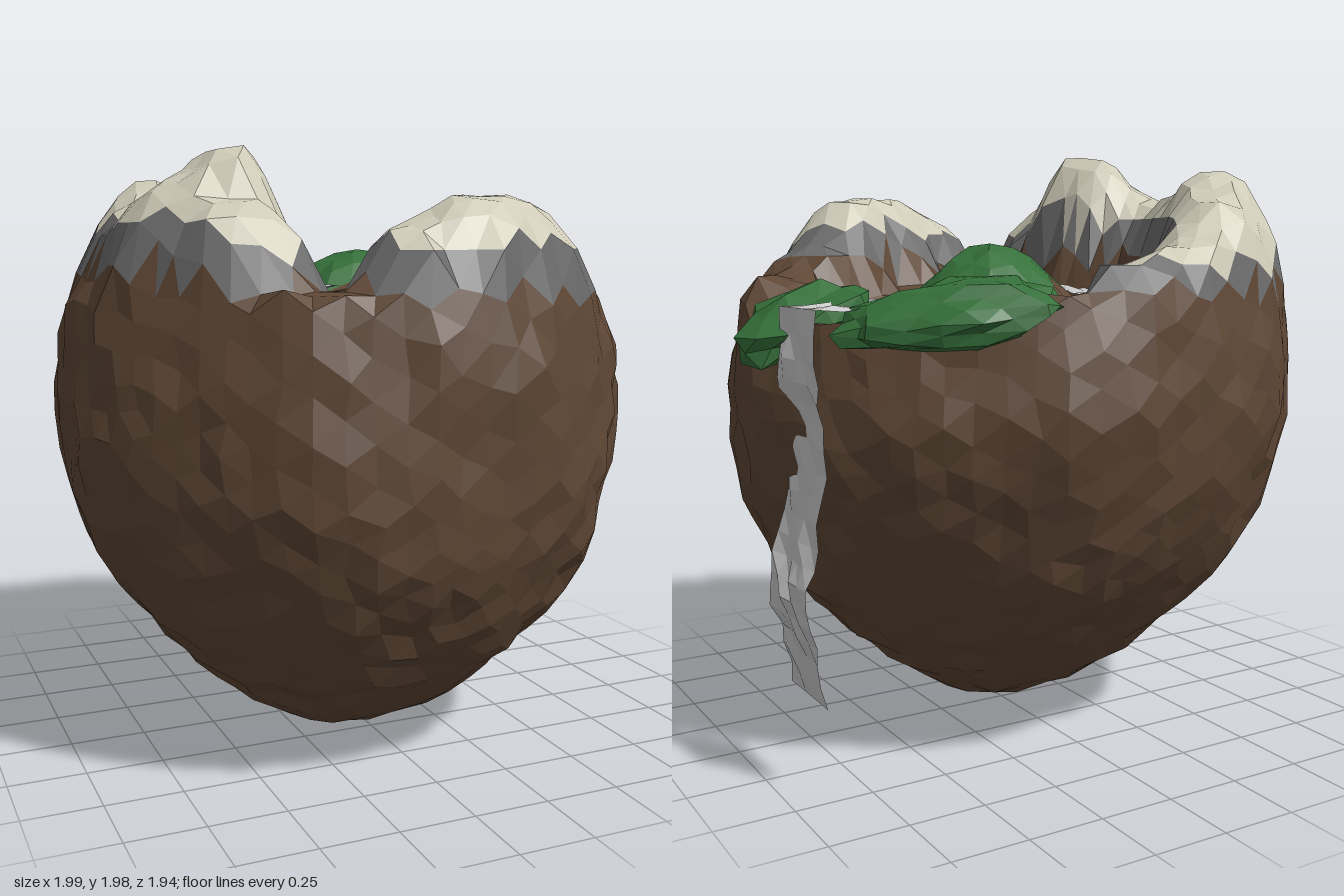
import * as THREE from 'three';
import { mergeVertices } from 'three/addons/utils/BufferGeometryUtils.js';

const COLORS = { soil: 0x5f4735, stone: 0x6b6b6b, snow: 0xcfcbb8, grass: 0x35703a, water: 0xcccccc, rock: 0x444444 };
const material = (key, side = THREE.FrontSide) =>
  new THREE.MeshStandardMaterial({ color: COLORS[key], flatShading: true, side });
const smooth = THREE.MathUtils.smoothstep;

// Repeatable noise in -1..1 from a position
function noise(x, y, z, k = 0) {
  const s = Math.sin(x * 127.1 + y * 311.7 + z * 74.7 + k * 53.3) * 43758.5453;
  return (s - Math.floor(s)) * 2 - 1;
}

// Mountain crests: [x, z, height, half width]
const RIDGES = [
  [[0.05, -0.81, 1.6, 0.13], [-0.2, -0.76, 1.66, 0.18], [-0.4, -0.64, 1.8, 0.23], [-0.57, -0.45, 1.89, 0.26],
    [-0.65, -0.12, 1.79, 0.26], [-0.61, 0.2, 1.88, 0.29], [-0.53, 0.42, 1.81, 0.27]],
  [[-0.52, 0.17, 1.96, 0.25], [-0.49, 0.26, 1.98, 0.23]],
  [[-0.09, 0.72, 1.74, 0.19], [0.12, 0.69, 1.82, 0.24], [0.33, 0.59, 1.82, 0.24], [0.52, 0.42, 1.64, 0.18]],
];

// Ground height, with the strength of the nearest ridge
function ground(x, z) {
  const mound = Math.max(0, 1 - ((x - 0.06) ** 2 + (z + 0.04) ** 2) / 0.15) ** 2 * 0.24;
  const bank = Math.max(smooth(z, 0.15, 0.5), smooth(x, 0.45, 0.7) * smooth(z, 0, 0.2),
    smooth(-x, 0.38, 0.6), 0.8 * smooth(-z, 0.65, 0.8));
  const base = 1.41 + 0.13 * bank + mound;
  let y = base, ridge = 0;
  for (const pts of RIDGES) {
    for (let i = 0; i < pts.length - 1; i++) {
      const [ax, az, ah, aw] = pts[i], [bx, bz, bh, bw] = pts[i + 1];
      const ux = bx - ax, uz = bz - az;
      const t = THREE.MathUtils.clamp(((x - ax) * ux + (z - az) * uz) / (ux * ux + uz * uz), 0, 1);
      const d = Math.hypot(x - ax - ux * t, z - az - uz * t);
      const f = Math.max(0, 1 - (d / (aw + (bw - aw) * t)) ** 2.5);
      ridge = Math.max(ridge, f);
      y = Math.max(y, base + (ah + (bh - ah) * t - base) * f);
    }
  }
  return { y, ridge };
}

// Lower edges of the stone and snow bands
const stoneLine = (z) => 1.61 - 0.08 * smooth(z, 0.4, 0.7) - 0.09 * smooth(-z, 0.55, 0.75);
const snowLine = (z) => stoneLine(z) + 0.13 - 0.06 * smooth(-z, 0.55, 0.75);

// Outer wall of the island from the rim down to its tip: (radius, y)
const WALL = new THREE.SplineCurve([
  [0.9, 1.47], [0.95, 1.28], [0.968, 1.08], [0.925, 0.82], [0.82, 0.58], [0.645, 0.37], [0.43, 0.18], [0.21, 0.05], [0, 0],
].map(([r, y]) => new THREE.Vector2(r, y)));

// Island: a sphere remapped to terrain on top and the wall below, split by ground type
function island(group) {
  const sphere = new THREE.IcosahedronGeometry(1, 11);
  sphere.deleteAttribute('normal');
  sphere.deleteAttribute('uv');
  const geo = mergeVertices(sphere, 1e-4);
  const p = geo.attributes.position;
  const split = 0.4;
  for (let i = 0; i < p.count; i++) {
    const dx = p.getX(i), dy = p.getY(i), dz = p.getZ(i);
    const a = Math.acos(THREE.MathUtils.clamp(dy, -1, 1)) / Math.PI;
    const len = Math.hypot(dx, dz) || 1, cx = dx / len, cz = dz / len;
    let r, y;
    if (a < split) {
      r = a / split * 0.9;
      const g = ground(cx * r - 0.035, cz * r);
      y = g.y + 0.012 * noise(dx, dy, dz, 2);
      // pull corners onto the band edges so they read as clean lines
      if (g.ridge > 0) {
        for (const line of [stoneLine(cz * r), snowLine(cz * r)]) if (Math.abs(y - line) < 0.03) y = line;
      }
    } else {
      const t = (a - split) / (1 - split), w = WALL.getPointAt(t);
      r = w.x + 0.015 * Math.sin(7 * cx + 5 * w.y) * Math.sin(6 * cz - 4 * w.y) * Math.min(1, w.x * 2);
      y = w.y + (ground(cx * 0.9 - 0.035, cz * 0.9).y - 1.47) * (1 - t) ** 4 + 0.014 * noise(dx, dy, dz, 2);
    }
    const tip = 0.12 * Math.max(0, 1 - y / 1.1), j = 0.013;
    p.setXYZ(i, cx * r - 0.035 + j * noise(dx, dy, dz, 1), Math.max(0, y), cz * r + tip + j * noise(dx, dy, dz, 3));
  }
  const faces = { soil: [], stone: [], snow: [], grass: [] };
  const v = [0, 1, 2].map(() => new THREE.Vector3());
  for (let i = 0; i < geo.index.count; i += 3) {
    v.forEach((q, k) => q.fromBufferAttribute(p, geo.index.getX(i + k)));
    const x = (v[0].x + v[1].x + v[2].x) / 3, y = (v[0].y + v[1].y + v[2].y) / 3, z = (v[0].z + v[1].z + v[2].z) / 3;
    const { ridge } = ground(x, z);
    let type = 'soil';
    if (y > snowLine(z) && ridge > 0.1) type = 'snow';
    else if (y > stoneLine(z) && ridge > 0) type = 'stone';
    else if (y > 1.4 && ((x - 0.06) / 0.27) ** 2 + ((z + 0.04) / 0.22) ** 2 < 1) type = 'grass';
    v.forEach((q) => faces[type].push(q.x, q.y, q.z));
  }
  const names = { soil: 'islandSoil', stone: 'mountainStone', snow: 'snowCaps', grass: 'moundGrass' };
  for (const [type, list] of Object.entries(faces)) {
    const g = new THREE.BufferGeometry();
    g.setAttribute('position', new THREE.Float32BufferAttribute(list, 3));
    g.computeVertexNormals();
    const mesh = new THREE.Mesh(g, material(type));
    mesh.name = names[type];
    group.add(mesh);
  }
}

// Rippled sheet across pairs of bank points: [outer x, y, z, inner x, y, z]
function sheet(rows, name, steps, across, amp, lift) {
  const bank = (o) => new THREE.CatmullRomCurve3(rows.map((r) => new THREE.Vector3(r[o], r[o + 1], r[o + 2])), false, 'centripetal');
  const outer = bank(0), inner = bank(3);
  const geo = new THREE.PlaneGeometry(1, 1, across, steps);
  const p = geo.attributes.position;
  for (let i = 0; i <= steps; i++) {
    const a = outer.getPoint(i / steps), b = inner.getPoint(i / steps);
    for (let k = 0; k <= across; k++) {
      const q = a.clone().lerp(b, k / across);
      const n = i === 0 || i === steps ? 0 : amp * noise(q.x, q.y, q.z);
      p.setXYZ(i * (across + 1) + k, q.x + n * lift[0], q.y + n * lift[1], q.z + n * lift[2]);
    }
  }
  geo.computeVertexNormals();
  const mesh = new THREE.Mesh(geo, material('water', THREE.DoubleSide));
  mesh.name = name;
  return mesh;
}

// Lumpy low-poly blob
function blob(name, key, detail, radii, position, rotation, rough) {
  const geo = new THREE.IcosahedronGeometry(1, detail);
  const p = geo.attributes.position;
  for (let i = 0; i < p.count; i++) {
    const c = [p.getX(i), p.getY(i), p.getZ(i)].map((n) => Math.round(n * 1000) / 1000);
    const s = 1 + rough * noise(...c);
    p.setXYZ(i, c[0] * s * radii[0], c[1] * s * radii[1], c[2] * s * radii[2]);
  }
  geo.computeVertexNormals();
  const mesh = new THREE.Mesh(geo, material(key));
  mesh.name = name;
  mesh.position.set(...position);
  mesh.rotation.set(...rotation, 'YXZ');
  return mesh;
}

export function createModel() {
  const group = new THREE.Group();
  group.name = 'floatingIsland';
  island(group);

  // Stream curling round the mound into a pool: [outer x, z, inner x, z]
  const banks = [
    [-0.22, 0.41, -0.15, 0.36], [-0.32, 0.2, -0.22, 0.2], [-0.37, 0.02, -0.27, 0.02], [-0.36, -0.2, -0.26, -0.16],
    [-0.3, -0.42, -0.2, -0.3], [-0.16, -0.6, -0.03, -0.32], [0.02, -0.7, 0.12, -0.28], [0.22, -0.67, 0.27, -0.18],
    [0.4, -0.54, 0.38, -0.04], [0.55, -0.46, 0.57, -0.04], [0.65, -0.46, 0.64, -0.19], [0.89, -0.48, 0.89, -0.19],
  ];
  const level = (i) => 1.465 + 0.08 * Math.max(0, 1 - i / 3);
  group.add(sheet(banks.map(([a, b, c, d], i) => [a, level(i), b, c, level(i), d]), 'stream', 34, 5, 0.01, [0.5, 1, 0.5]));

  // Waterfall over the rim: [y, x]
  const fall = [[1.465, 0.89], [1.27, 0.895], [1.12, 0.88], [0.93, 0.88], [0.75, 0.91], [0.6, 0.945], [0.45, 0.91], [0.28, 0.88]];
  group.add(sheet(fall.map(([y, x]) => [x, y, -0.475, x, y, -0.18]), 'waterfall', 18, 5, 0.012, [1, 0.3, 0.4]));

  // Grass clumps lying over the rim and a rock in the pool
  group.add(blob('rimGrassRight', 'grass', 1, [0.23, 0.08, 0.2], [0.79, 1.41, -0.07], [0, 0.2, -0.45], 0.25));
  group.add(blob('rimGrassBack', 'grass', 2, [0.33, 0.08, 0.14], [0.55, 1.45, -0.63], [-0.5, -0.6, -0.15], 0.14));
  group.add(blob('poolRock', 'rock', 0, [0.045, 0.05, 0.075], [0.41, 1.46, -0.32], [0, 0.5, 0], 0.15));
  return group;
}
